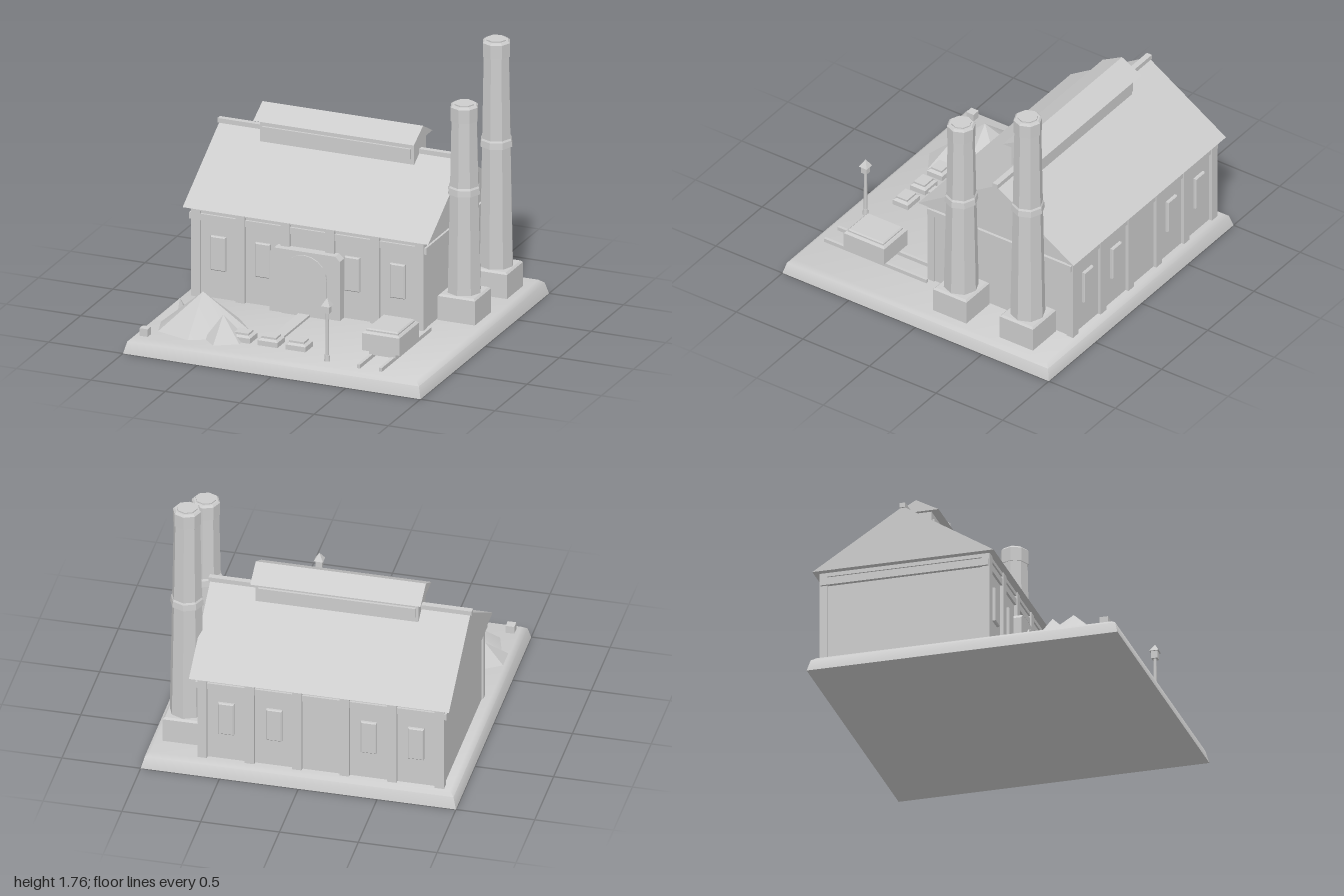
import * as THREE from 'three';
import { toCreasedNormals } from 'three/addons/utils/BufferGeometryUtils.js';

export function createModel() {
  const model = new THREE.Group();
  model.name = 'powerStation';
  const grey = new THREE.MeshStandardMaterial({ color: 0xcccccc });
  grey.name = 'plain grey';

  const add = (name, geometry, x = 0, y = 0, z = 0, parent = model) => {
    const mesh = new THREE.Mesh(geometry, grey);
    mesh.name = name;
    mesh.position.set(x, y, z);
    parent.add(mesh);
    return mesh;
  };
  const group = (name, x = 0, y = 0, z = 0) => {
    const g = new THREE.Group();
    g.name = name;
    g.position.set(x, y, z);
    model.add(g);
    return g;
  };
  // Box given by its limits on each axis
  const box = (name, [x0, x1], [y0, y1], [z0, z1], parent) =>
    add(name, new THREE.BoxGeometry(x1 - x0, y1 - y0, z1 - z0),
      (x0 + x1) / 2, (y0 + y1) / 2, (z0 + z1) / 2, parent);

  // Box with a chamfered upper rim, standing on y = 0
  const chamferBox = (w, h, d, bevel, drop = bevel) => {
    const g = new THREE.BoxGeometry(w, h, d, 1, 2, 1).translate(0, h / 2, 0);
    const p = g.attributes.position;
    for (let i = 0; i < p.count; i++) {
      const y = p.getY(i);
      if (y > h * 0.9) {
        p.setX(i, p.getX(i) - Math.sign(p.getX(i)) * bevel);
        p.setZ(i, p.getZ(i) - Math.sign(p.getZ(i)) * bevel);
      } else if (y > h * 0.1) p.setY(i, h - drop);
    }
    return toCreasedNormals(g, 0.3);
  };

  // Triangular prism along x: ridge at the top, flat underside
  const gable = (name, x0, x1, z0, z1, y0, y1) => {
    const half = (z1 - z0) / 2;
    const shape = new THREE.Shape([[-half, 0], [half, 0], [0, y1 - y0]].map(p => new THREE.Vector2(...p)));
    const g = new THREE.ExtrudeGeometry(shape, { depth: x1 - x0, bevelEnabled: false });
    g.rotateY(Math.PI / 2);
    return add(name, g, x0, y0, (z0 + z1) / 2);
  };

  // Plinth with softly shaded, bevelled sides
  const plinth = new THREE.BoxGeometry(2, 0.1, 2, 1, 2, 1).translate(0, 0.05, 0);
  const pp = plinth.attributes.position;
  for (let i = 0; i < pp.count; i++) {
    const row = Math.round(pp.getY(i) / 0.05);
    const half = [1, 0.98, 0.95][row];
    pp.setXYZ(i, Math.sign(pp.getX(i)) * half, [0, 0.075, 0.1][row], Math.sign(pp.getZ(i)) * half);
  }
  add('plinth', toCreasedNormals(plinth, 1));

  // Hall, cornice and roof
  const midZ = -0.395;
  box('hallWalls', [-0.9, 0.645], [0.1, 0.69], [-0.92, 0.13]);
  box('cornice', [-0.925, 0.67], [0.604, 0.647], [-0.935, 0.145]);
  box('upperCornice', [-0.91, 0.655], [0.665, 0.69], [-0.935, 0.145]);
  gable('mainRoof', -0.95, 0.7, -0.978, 0.188, 0.69, 1.06);
  box('ridgeCap', [-0.96, 0.71], [1.05, 1.08], [-0.415, -0.377]);

  // Pilasters and windows on both long walls
  for (const s of [1, -1]) {
    const wall = midZ + s * 0.525;
    for (let i = 0; i < 6; i++) {
      add('pilaster', new THREE.BoxGeometry(0.06, 0.59, 0.05), -0.88 + i * 0.301, 0.395, wall - s * 0.003);
    }
    for (const x of [-0.73, -0.43, 0.17, 0.475]) {
      const frame = add('window', chamferBox(0.1, 0.025, 0.225, 0.006), x, 0.4, wall - s * 0.005);
      frame.rotation.x = s * Math.PI / 2;
    }
  }

  // Roof monitor
  box('monitorWalls', [-0.64, 0.395], [0.98, 1.155], [-0.488, -0.302]);
  box('monitorLouvres', [-0.625, 0.375], [1.04, 1.105], [-0.505, -0.287]);
  gable('monitorRoof', -0.665, 0.415, -0.54, -0.25, 1.15, 1.23);

  // Portal with arched door
  const portal = new THREE.Shape([
    [-0.237, 0], [0.237, 0], [0.237, 0.39], [0.205, 0.42], [-0.205, 0.42], [-0.237, 0.39],
  ].map(p => new THREE.Vector2(...p)));
  add('portal', new THREE.ExtrudeGeometry(portal, { depth: 0.075, bevelEnabled: false }), -0.127, 0.1, 0.12);
  const arch = new THREE.Shape();
  arch.moveTo(-0.152, 0);
  arch.lineTo(0.152, 0);
  arch.lineTo(0.152, 0.248);
  arch.absarc(0, 0.248, 0.152, 0, Math.PI, false);
  add('archedDoor', new THREE.ExtrudeGeometry(arch, { depth: 0.011, bevelEnabled: false, curveSegments: 5 }),
    -0.127, 0.1, 0.194);

  // Octagonal chimneys
  const chimney = (name, z, ringY, topY) => {
    const g = group(name, 0.78, 0, z);
    const tube = (part, rTop, rBottom, y0, y1) =>
      add(part, new THREE.CylinderGeometry(rTop, rBottom, y1 - y0, 8).toNonIndexed(), 0, (y0 + y1) / 2, 0, g)
        .geometry.computeVertexNormals();
    add('chimneyBase', chamferBox(0.25, 0.17, 0.25, 0.012), 0, 0.1, 0, g);
    tube('shaft', 0.083, 0.11, 0.26, topY - 0.02);
    tube('ring', 0.102, 0.107, ringY, ringY + 0.04);
    tube('ringBevel', 0.094, 0.102, ringY + 0.04, ringY + 0.052);
    tube('crown', 0.09, 0.09, topY - 0.11, topY - 0.02);
    tube('crownBevel', 0.078, 0.09, topY - 0.02, topY - 0.008);
    tube('lid', 0.065, 0.065, topY - 0.02, topY);
  };
  chimney('frontChimney', -0.19, 0.92, 1.51);
  chimney('backChimney', -0.69, 1.06, 1.76);

  // Faceted heaps: a fan from the peak down to an uneven outline
  const heap = (name, [px, py, pz], outline) => {
    const pos = [];
    outline.forEach(([x, z], i) => {
      const [nx, nz] = outline[(i + 1) % outline.length];
      pos.push(px, py, pz, nx, 0.1, nz, x, 0.1, z);
    });
    const g = new THREE.BufferGeometry();
    g.setAttribute('position', new THREE.Float32BufferAttribute(pos, 3));
    add(name, toCreasedNormals(g, 0.5));
  };
  heap('largeHeap', [-0.63, 0.33, 0.61], [
    [-0.77, 0.395], [-0.48, 0.395], [-0.33, 0.57], [-0.4, 0.75],
    [-0.62, 0.87], [-0.85, 0.8], [-0.9, 0.64], [-0.85, 0.47],
  ]);
  heap('frontHeap', [-0.44, 0.25, 0.735], [
    [-0.5, 0.67], [-0.38, 0.64], [-0.3, 0.69], [-0.3, 0.81], [-0.44, 0.895], [-0.54, 0.8],
  ]);
  heap('sideHeap', [-0.82, 0.23, 0.53], [
    [-0.94, 0.5], [-0.81, 0.415], [-0.77, 0.51], [-0.82, 0.59], [-0.94, 0.64],
  ]);

  // Crates in front of the door, corner block
  for (const x of [-0.31, -0.125, 0.063]) {
    add('crate', chamferBox(0.134, 0.045, 0.115, 0.018, 0.012), x, 0.1, 0.72);
    add('crateLid', new THREE.BoxGeometry(0.098, 0.015, 0.08), x, 0.15, 0.72);
  }
  box('cornerBlock', [-0.925, -0.87], [0.1, 0.15], [0.862, 0.917]);

  // Walkway to the door and wagon rails
  box('walkway', [-0.165, -0.087], [0.1, 0.115], [0.19, 0.665]);
  for (const x of [0.54, 0.687]) box('rail', [x - 0.01, x + 0.01], [0.1, 0.125], [0.13, 0.9]);

  // Wagon
  const wagon = group('wagon', 0.613, 0, 0.57);
  box('chassis', [-0.09, 0.09], [0.12, 0.155], [-0.13, 0.13], wagon);
  add('wagonBody', chamferBox(0.25, 0.125, 0.305, 0.012), 0, 0.15, 0, wagon);
  add('wagonLoad', chamferBox(0.215, 0.03, 0.265, 0.008), 0, 0.262, 0, wagon);

  // Lamp post
  const lamp = group('lampPost', 0.31, 0, 0.855);
  add('lampBase', new THREE.CylinderGeometry(0.016, 0.02, 0.04, 8), 0, 0.12, 0, lamp);
  add('post', new THREE.CylinderGeometry(0.01, 0.013, 0.32, 8), 0, 0.26, 0, lamp);
  add('lantern', new THREE.BoxGeometry(0.04, 0.05, 0.04), 0, 0.442, 0, lamp);
  const hood = new THREE.ConeGeometry(0.042, 0.05, 4).toNonIndexed();
  hood.computeVertexNormals();
  add('lanternHood', hood, 0, 0.49, 0, lamp).rotation.y = Math.PI / 4;

  return model;
}
